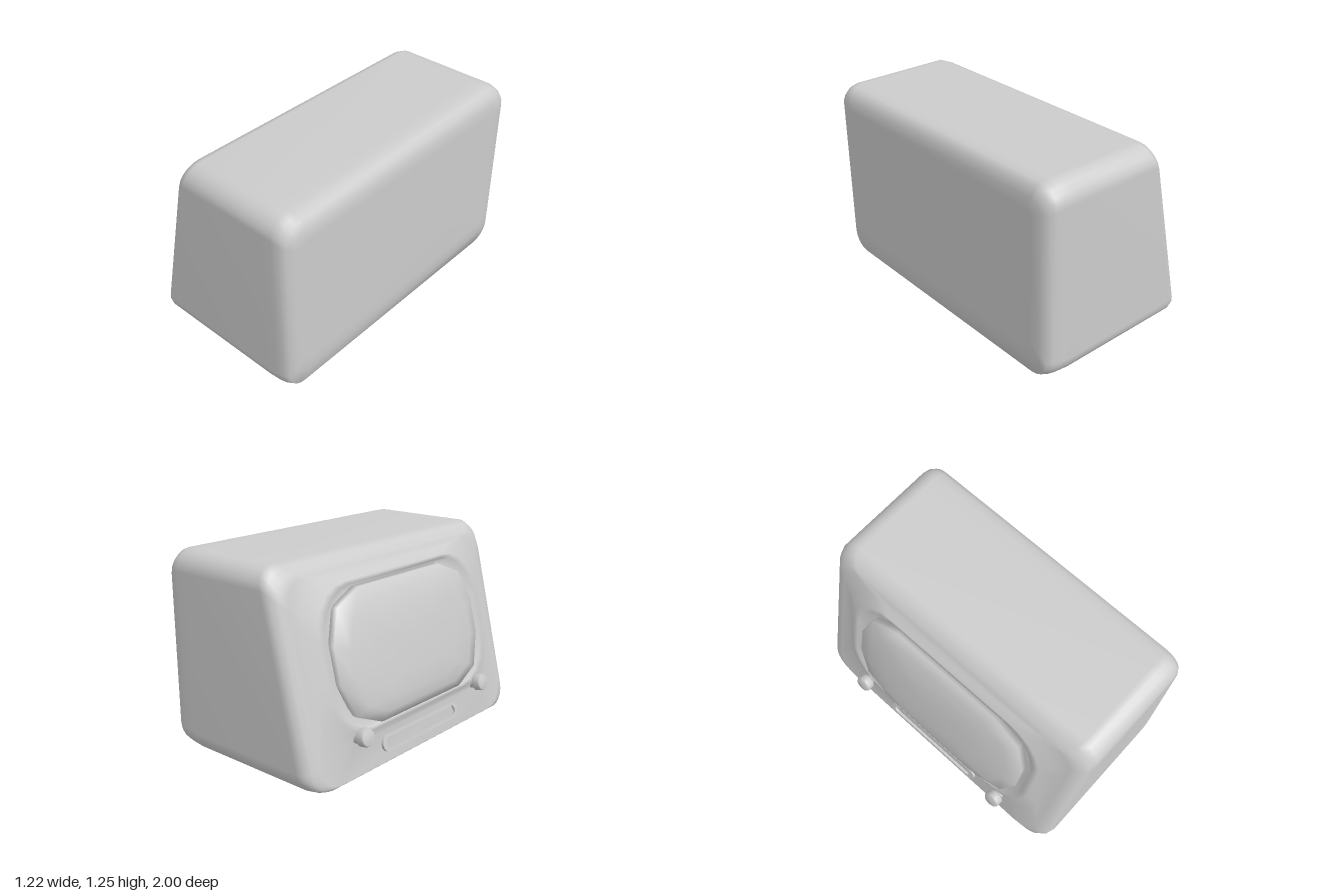
import * as THREE from 'three';

const SLOPE = 0.245; // lean of the screen side: x = offset + SLOPE * y
const TILT = Math.atan(SLOPE);
const material = new THREE.MeshStandardMaterial({ color: 0xcccccc });

// Rounded rectangle in z (half width w) and y (y0..y1), n segments per corner
function ring({ x, s = 0, w, y0, y1, r }, n) {
  const pts = [];
  const corners = [[w - r, y1 - r], [r - w, y1 - r], [r - w, y0 + r], [w - r, y0 + r]];
  corners.forEach(([z, y], c) => {
    for (let i = 0; i <= n; i++) {
      const a = (c + i / n) * Math.PI / 2;
      const py = y + r * Math.sin(a);
      pts.push([x + s * py, py, z + r * Math.cos(a)]);
    }
  });
  return pts;
}

// Skin over rings running from +x to -x, closed at both ends
function loft(name, specs, n) {
  const rings = specs.map((spec) => ring(spec, n));
  const m = rings[0].length;
  const pos = rings.flat(2);
  const index = [];
  for (let i = 0; i < rings.length - 1; i++) {
    for (let j = 0; j < m; j++) {
      const a = i * m + j, b = i * m + (j + 1) % m;
      index.push(a, b, b + m, a, b + m, a + m);
    }
  }
  const cap = (i, flip) => {
    const { x, s = 0, y0, y1 } = specs[i];
    const y = (y0 + y1) / 2, centre = pos.length / 3;
    pos.push(x + s * y, y, 0);
    for (let j = 0; j < m; j++) {
      const a = i * m + j, b = i * m + (j + 1) % m;
      index.push(centre, flip ? b : a, flip ? a : b);
    }
  };
  cap(0, true);
  cap(specs.length - 1, false);
  const geo = new THREE.BufferGeometry();
  geo.setAttribute('position', new THREE.Float32BufferAttribute(pos, 3));
  geo.setIndex(index);
  geo.computeVertexNormals();
  const mesh = new THREE.Mesh(geo, material);
  mesh.name = name;
  return mesh;
}

function makeCabinet() {
  const s = SLOPE;
  return loft('cabinet', [
    // upright rear panel and its rounded edge
    { x: 0.61, w: 0.86, y0: 0.22, y1: 1.09, r: 0.04 },
    { x: 0.607, w: 0.93, y0: 0.14, y1: 1.16, r: 0.08 },
    { x: 0.585, w: 0.975, y0: 0.035, y1: 1.215, r: 0.12 },
    { x: 0.55, w: 0.995, y0: 0.025, y1: 1.238, r: 0.13 },
    { x: 0.5, w: 1.0, y0: 0.015, y1: 1.25, r: 0.13 },
    { x: 0.42, w: 1.0, y0: 0.005, y1: 1.25, r: 0.13 },
    // leaning edge on the screen side
    { x: -0.46, s, w: 1.0, y0: 0.003, y1: 1.25, r: 0.13 },
    { x: -0.505, s, w: 0.985, y0: 0.003, y1: 1.23, r: 0.13 },
    { x: -0.538, s, w: 0.95, y0: 0.006, y1: 1.19, r: 0.13 },
    { x: -0.548, s, w: 0.9, y0: 0.015, y1: 1.165, r: 0.15 },
    // raised surround and the recess for the screen
    { x: -0.556, s, w: 0.83, y0: 0.2, y1: 1.14, r: 0.25 },
    { x: -0.59, s, w: 0.76, y0: 0.25, y1: 1.1, r: 0.28 },
    { x: -0.592, s, w: 0.72, y0: 0.27, y1: 1.08, r: 0.28 },
    { x: -0.56, s, w: 0.66, y0: 0.3, y1: 1.05, r: 0.27 },
  ], 5);
}

function makeScreen() {
  const s = SLOPE;
  return loft('screen', [
    { x: -0.55, s, w: 0.67, y0: 0.28, y1: 1.055, r: 0.28 },
    { x: -0.605, s, w: 0.67, y0: 0.28, y1: 1.055, r: 0.28 },
    { x: -0.632, s, w: 0.57, y0: 0.335, y1: 0.98, r: 0.24 },
    { x: -0.653, s, w: 0.4, y0: 0.41, y1: 0.89, r: 0.18 },
    { x: -0.66, s, w: 0.2, y0: 0.53, y1: 0.77, r: 0.08 },
  ], 2);
}

// Control knob turned around the normal of the leaning face
function makeKnob(side) {
  const profile = [
    [0.036, -0.04], [0.036, 0.025], [0.03, 0.035], [0.048, 0.037], [0.055, 0.045],
    [0.055, 0.085], [0.048, 0.096], [0, 0.099],
  ].map(([r, y]) => new THREE.Vector2(r, y));
  const knob = new THREE.Mesh(new THREE.LatheGeometry(profile, 16), material);
  knob.name = side > 0 ? 'leftKnob' : 'rightKnob';
  knob.position.set(-0.505, 0.24, side * 0.585);
  knob.rotation.z = Math.PI / 2 - TILT;
  return knob;
}

// Outline of a long slot with rounded ends
function slotPath(path, halfLength, r) {
  path.absarc(halfLength - r, 0, r, -Math.PI / 2, Math.PI / 2, false);
  path.absarc(r - halfLength, 0, r, Math.PI / 2, Math.PI * 1.5, false);
  path.closePath();
  return path;
}

function makeSlotFrame() {
  const shape = slotPath(new THREE.Shape(), 0.38, 0.05);
  shape.holes.push(slotPath(new THREE.Path(), 0.35, 0.035));
  const geo = new THREE.ExtrudeGeometry(shape, {
    depth: 0.02, bevelEnabled: false, curveSegments: 8,
  });
  geo.rotateY(-Math.PI / 2);
  geo.rotateZ(-TILT);
  const frame = new THREE.Mesh(geo, material);
  frame.name = 'slotFrame';
  frame.position.set(-0.548 + SLOPE * 0.12, 0.12, 0);
  return frame;
}

export function createModel() {
  const model = new THREE.Group();
  model.name = 'tabletopTelevision';
  model.add(makeCabinet(), makeScreen(), makeSlotFrame());
  for (const side of [1, -1]) model.add(makeKnob(side));
  return model;
}
